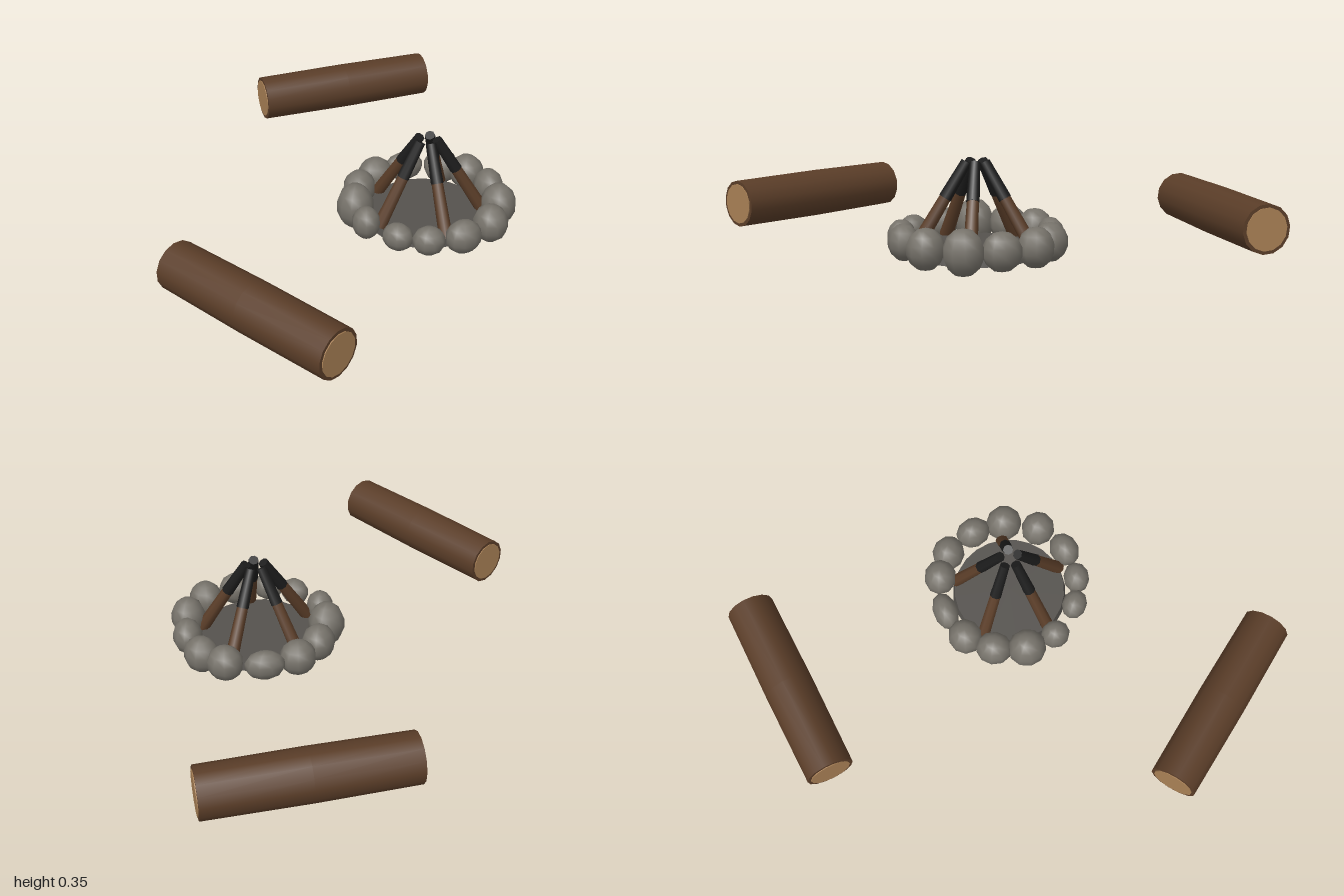
import * as THREE from 'three';

const mat = (color) => new THREE.MeshStandardMaterial({ color, roughness: 0.95 });
const bark = mat(0x5a3d28), cutWood = mat(0xa88055), stone = mat(0x76726a);
const ash = mat(0x55524e), charcoal = mat(0x1c1c1c);
const UP = new THREE.Vector3(0, 1, 0);

function add(parent, name, geometry, material) {
  const mesh = new THREE.Mesh(geometry, material);
  mesh.name = name;
  parent.add(mesh);
  return mesh;
}

// Places a part whose axis is y so that it runs between two points
function span(object, a, b) {
  object.position.copy(a).add(b).multiplyScalar(0.5);
  object.quaternion.setFromUnitVectors(UP, b.clone().sub(a).normalize());
}

// Seat log: slightly bulging bark with a pale cut face at both ends
function makeLog(name, a, b) {
  const log = new THREE.Group();
  log.name = name;
  const h = a.distanceTo(b) / 2;
  const profile = [[0.085, -h], [0.088, 0], [0.085, h]].map(([r, y]) => new THREE.Vector2(r, y));
  add(log, 'bark', new THREE.LatheGeometry(profile, 14), bark);
  for (const s of [-1, 1]) {
    const rim = add(log, 'barkRim', new THREE.CircleGeometry(0.085, 14), bark);
    rim.rotation.set(-s * Math.PI / 2, 0, Math.PI / 2);
    rim.position.y = s * h;
    const face = add(log, 'cutFace', new THREE.CylinderGeometry(0.073, 0.073, 0.006, 14), cutWood);
    face.position.y = s * h;
  }
  span(log, a, b);
  return log;
}

export function createModel() {
  const model = new THREE.Group();
  model.name = 'campfire';
  const V = (x, y, z) => new THREE.Vector3(x, y, z);

  model.add(makeLog('frontLog', V(-0.548, 0.133, 0.486), V(-0.02, 0.133, 0.93)));
  model.add(makeLog('backLog', V(-0.345, 0.133, -0.686), V(0.308, 0.133, -0.922)));

  const fire = new THREE.Group();
  fire.name = 'firePit';
  fire.position.set(0.28, 0, 0.03);
  model.add(fire);

  // Ash bed
  add(fire, 'ashBed', new THREE.CylinderGeometry(0.205, 0.212, 0.03, 24), ash).position.y = 0.045;

  // Ring of stones: x, z, half width, half height, half depth, turn
  const stones = [
    [0.26, 0.015, 0.064, 0.078, 0.068, 0.2], [0.22, 0.14, 0.062, 0.07, 0.064, 0.6],
    [0.12, 0.225, 0.066, 0.062, 0.053, 0.4], [0, 0.252, 0.058, 0.053, 0.048, 0],
    [-0.105, 0.228, 0.056, 0.05, 0.046, -0.5], [-0.212, 0.14, 0.05, 0.06, 0.054, 0.3],
    [-0.25, 0.03, 0.067, 0.085, 0.071, 0.1], [-0.235, -0.09, 0.06, 0.068, 0.067, -0.3],
    [-0.175, -0.188, 0.066, 0.066, 0.062, 0.5], [-0.067, -0.247, 0.073, 0.055, 0.046, 0.25],
    [0.073, -0.25, 0.066, 0.066, 0.06, -0.2], [0.165, -0.208, 0.066, 0.068, 0.06, -0.5],
    [0.237, -0.105, 0.054, 0.066, 0.066, 0.3],
  ];
  const sphere = new THREE.SphereGeometry(1, 10, 7);
  stones.forEach(([x, z, w, h, d, turn], i) => {
    const rock = add(fire, `stone${i + 1}`, sphere, stone);
    rock.position.set(x, 0.09, z);
    rock.scale.set(w, h, d);
    rock.rotation.y = turn;
  });

  // Five leaning sticks, charred towards the top
  for (let i = 0; i < 5; i++) {
    const t = i * Math.PI * 2 / 5;
    const at = (r, y) => V(r * Math.cos(t), y, r * Math.sin(t));
    const foot = at(0.205, 0.06), top = at(0.032, 0.342), joint = foot.clone().lerp(top, 0.58);
    const wood = add(fire, `stick${i + 1}`,
      new THREE.CylinderGeometry(0.02, 0.024, foot.distanceTo(joint), 8), bark);
    span(wood, foot, joint);
    const tip = add(fire, `charredTip${i + 1}`,
      new THREE.CylinderGeometry(0.018, 0.022, joint.distanceTo(top), 8), charcoal);
    span(tip, joint, top);
  }
  return model;
}
